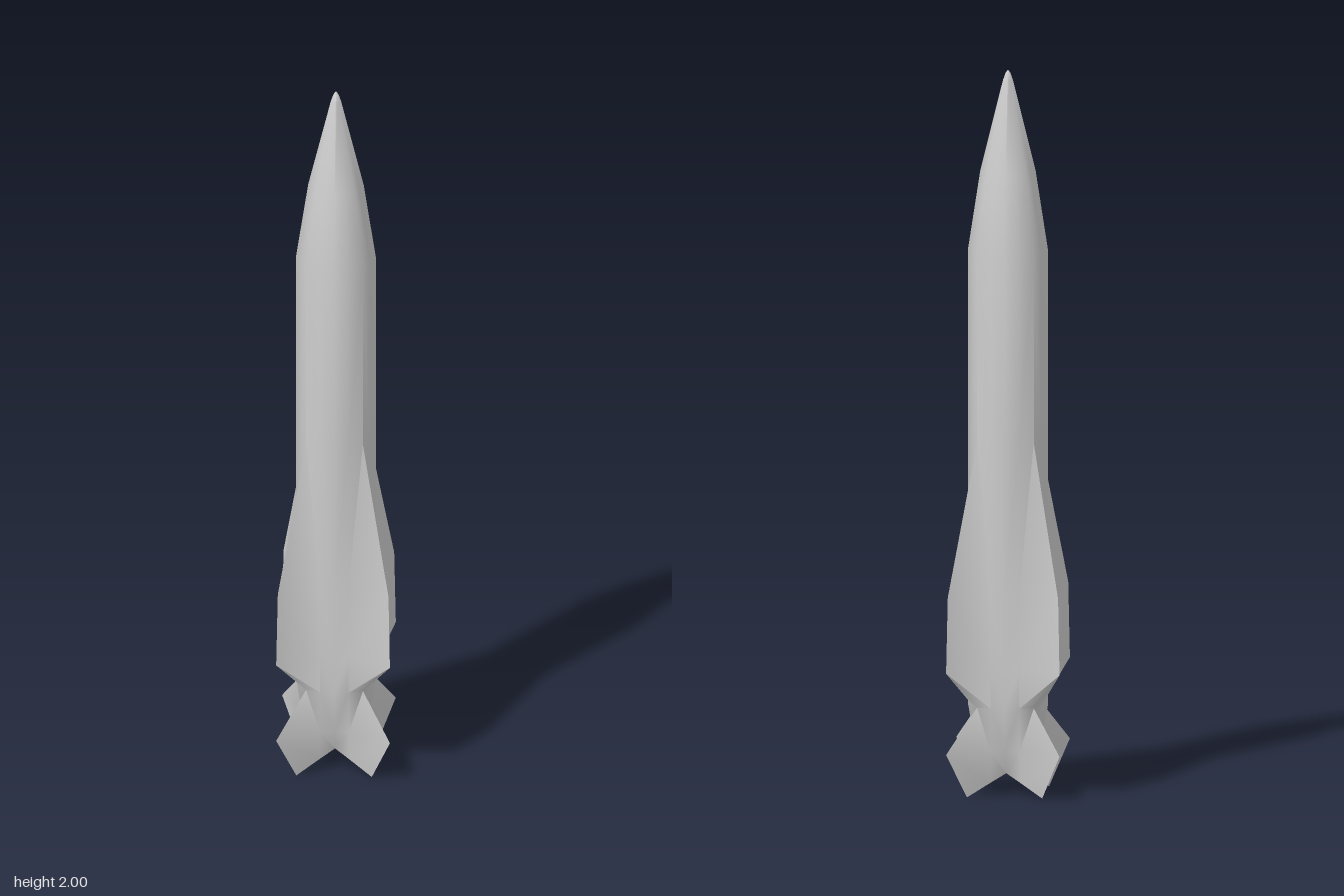
import * as THREE from 'three';
import { toCreasedNormals } from 'three/addons/utils/BufferGeometryUtils.js';

const PER_RING = 16; // four quarters: fin ridge, fin root, body corner, fin root

// One hull cross-section. Each argument is [radius along the quarter axis, sideways offset, height].
function ring(ridge, root, corner) {
  const points = [];
  for (let q = 0; q < 4; q++) {
    const c = Math.round(Math.cos(q * Math.PI / 2));
    const s = Math.round(Math.sin(q * Math.PI / 2));
    const mirrored = [root[1], root[0], root[2]];
    for (const [u, v, y] of [ridge, root, corner, mirrored]) {
      points.push(new THREE.Vector3(u * c - v * s, y, u * s + v * c));
    }
  }
  return points;
}

// Octagonal body section, with the four fin ridges pulled out to finRadius
function section(y, radius, finRadius = radius) {
  const d = radius * Math.SQRT1_2;
  return ring([finRadius, 0, y], [(radius + d) / 2, d / 2, y], [d, d, y]);
}

export function createModel() {
  const group = new THREE.Group();
  const material = new THREE.MeshStandardMaterial({ color: 0xcccccc });

  const rings = [
    // swept lower tips of the tail fins
    ring([0.146, 0, 0], [0.08, 0.021, 0.036], [0.036, 0.036, 0.06]),
    ring([0.22, 0, 0.125], [0.09, 0.034, 0.125], [0.063, 0.063, 0.125]),
    section(0.245, 0.11),
    // main fins
    section(0.35, 0.11, 0.22),
    section(0.56, 0.11, 0.214),
    section(0.98, 0.11),
    // body tube and nose
    section(1.5, 0.11),
    section(1.72, 0.076),
    section(1.97, 0.014),
    section(1.99, 0.007),
  ];

  const positions = [];
  const triangle = (...corners) => corners.forEach((p) => positions.push(p.x, p.y, p.z));

  // Hollowed underside
  const base = new THREE.Vector3(0, 0.072, 0);
  for (let i = 0; i < PER_RING; i++) {
    triangle(base, rings[0][i], rings[0][(i + 1) % PER_RING]);
  }
  // Skin between neighbouring sections
  const bandStart = [];
  for (let r = 0; r < rings.length - 1; r++) {
    bandStart.push(positions.length / 3);
    for (let i = 0; i < PER_RING; i++) {
      const j = (i + 1) % PER_RING;
      const a = rings[r][i], b = rings[r][j];
      const c = rings[r + 1][i], d = rings[r + 1][j];
      // mirror the diagonals so both flanks of each fin match
      if (i % 4 < 2) {
        triangle(a, c, b);
        triangle(b, c, d);
      } else {
        triangle(a, d, b);
        triangle(a, c, d);
      }
    }
  }
  // Tip of the nose
  const tip = new THREE.Vector3(0, 2, 0);
  const top = rings[rings.length - 1];
  for (let i = 0; i < PER_RING; i++) triangle(top[i], tip, top[(i + 1) % PER_RING]);

  let hull = new THREE.BufferGeometry();
  hull.setAttribute('position', new THREE.Float32BufferAttribute(positions, 3));
  hull = toCreasedNormals(hull, Math.PI / 3);

  // Cut the continuous skin into named parts, keeping its shared normals
  const addPart = (name, start, end) => {
    const geometry = new THREE.BufferGeometry();
    for (const key of ['position', 'normal']) {
      const values = hull.attributes[key].array.slice(start * 3, end * 3);
      geometry.setAttribute(key, new THREE.BufferAttribute(values, 3));
    }
    const mesh = new THREE.Mesh(geometry, material);
    mesh.name = name;
    group.add(mesh);
  };
  addPart('tailFins', 0, bandStart[2]);
  addPart('mainFins', bandStart[2], bandStart[5]);
  addPart('bodyTube', bandStart[5], bandStart[6]);
  addPart('noseCone', bandStart[6], positions.length / 3);

  return group;
}
